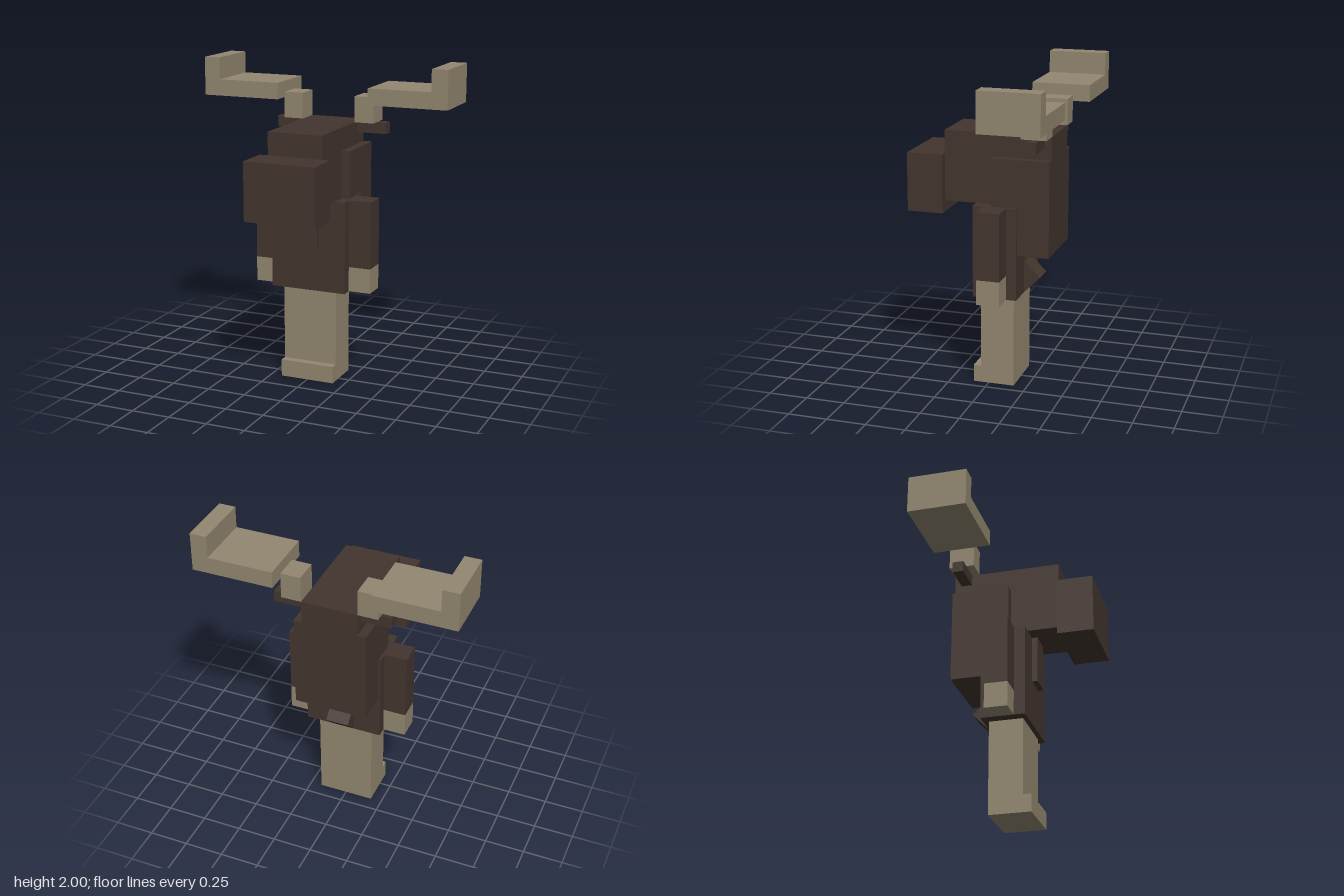
import * as THREE from 'three';

export function createModel() {
  const model = new THREE.Group();
  model.name = 'antleredFigure';

  const darkFur = new THREE.MeshStandardMaterial({ name: 'dark brown fur', color: 0x43352e });
  const paleTan = new THREE.MeshStandardMaterial({ name: 'pale tan', color: 0x938770 });

  // Box given by its [min, max] range on each axis
  function box(name, material, [x0, x1], [y0, y1], [z0, z1], parent = model) {
    const mesh = new THREE.Mesh(new THREE.BoxGeometry(x1 - x0, y1 - y0, z1 - z0), material);
    mesh.name = name;
    mesh.position.set((x0 + x1) / 2, (y0 + y1) / 2, (z0 + z1) / 2);
    parent.add(mesh);
    return mesh;
  }

  // Box repeated on both sides; x range is given for the model's left (+x)
  function pair(name, material, [x0, x1], y, z) {
    box('left' + name, material, [x0, x1], y, z);
    box('right' + name, material, [-x1, -x0], y, z);
  }

  // Legs and the step of the feet
  box('legs', paleTan, [-0.178, 0.178], [0, 0.595], [-0.165, 0.05]);
  box('feet', paleTan, [-0.178, 0.178], [0, 0.11], [0.05, 0.1]);

  // Torso, arms and hands
  box('torso', darkFur, [-0.247, 0.247], [0.595, 1.18], [-0.2, 0.08]);
  pair('Arm', darkFur, [0.247, 0.39], [0.753, 1.18], [-0.135, 0.01]);
  pair('Hand', paleTan, [0.247, 0.39], [0.595, 0.753], [-0.135, 0.01]);

  // Head, muzzle, throat flap and the mane down the back
  box('head', darkFur, [-0.178, 0.178], [1.18, 1.625], [-0.4, 0.28]);
  box('muzzle', darkFur, [-0.232, 0.232], [1.11, 1.48], [0.28, 0.508]);
  box('throatFlap', darkFur, [-0.073, 0.073], [0.88, 1.18], [0.08, 0.115]);
  box('mane', darkFur, [-0.232, 0.232], [0.88, 1.48], [-0.4, -0.03]);

  // Tail: a small cube turned on edge, half sunk in the torso
  const tail = box('tail', darkFur, [-0.073, 0.073], [0.625, 0.771], [-0.273, -0.127]);
  tail.rotation.x = Math.PI / 4;

  // Ears
  pair('Ear', darkFur, [0.178, 0.373], [1.555, 1.625], [-0.357, -0.288]);

  // Antlers: stem, flat palm and raised outer edge
  pair('AntlerStem', paleTan, [0.178, 0.305], [1.625, 1.79], [-0.4, -0.24]);
  pair('AntlerPalm', paleTan, [0.305, 0.82], [1.755, 1.86], [-0.508, -0.135]);
  pair('AntlerTip', paleTan, [0.715, 0.82], [1.86, 2], [-0.508, -0.135]);

  return model;
}
